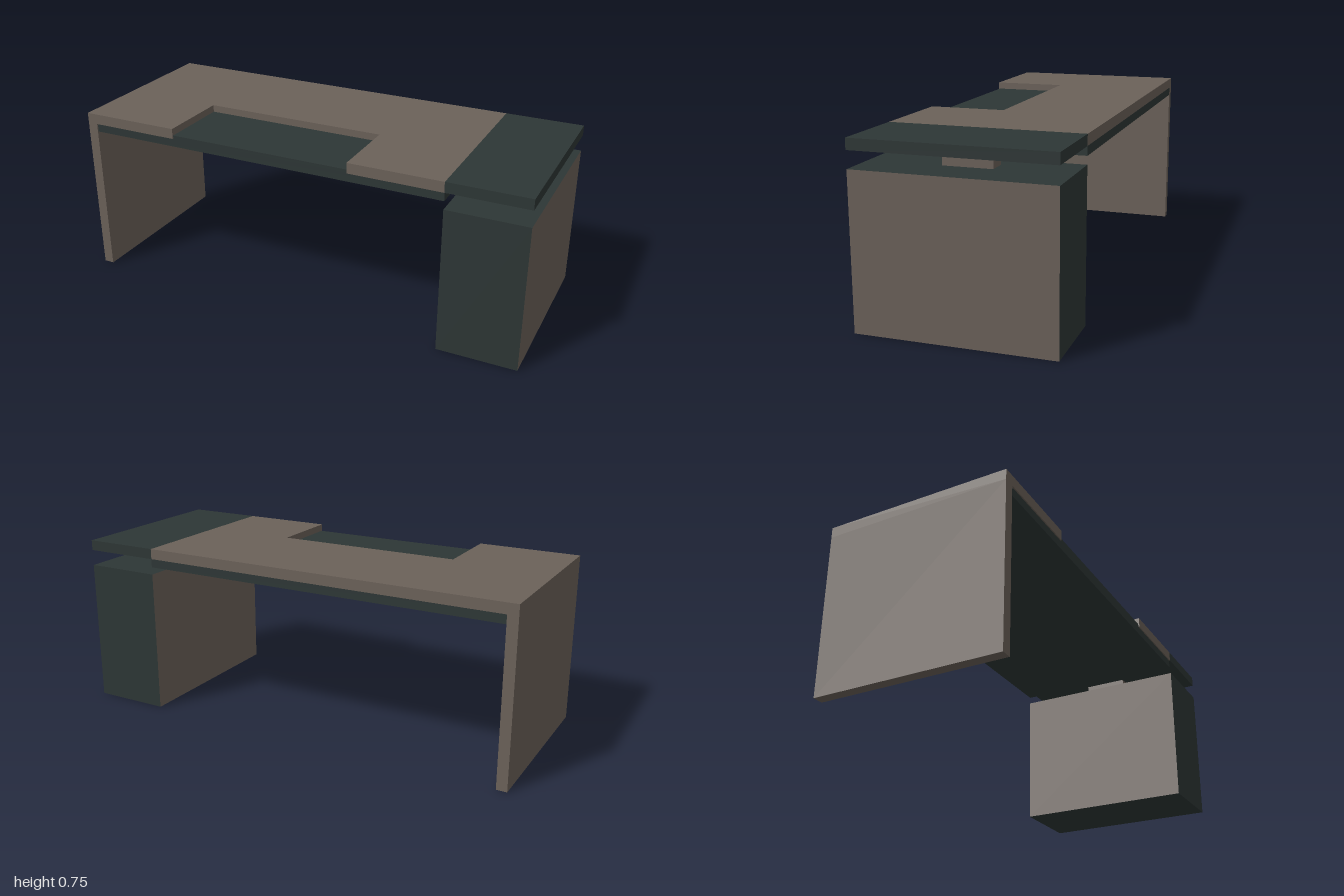
import * as THREE from 'three';

export function createModel() {
  const desk = new THREE.Group();
  desk.name = 'desk';

  const wood = new THREE.MeshStandardMaterial({ color: 0x6b6159 });
  wood.name = 'taupe wood';
  const dark = new THREE.MeshStandardMaterial({ color: 0x2d3635 });
  dark.name = 'dark slate';

  // Box given by its minimum and maximum corners
  function box(name, material, [x0, y0, z0], [x1, y1, z1]) {
    const geometry = new THREE.BoxGeometry(x1 - x0, y1 - y0, z1 - z0);
    geometry.translate((x0 + x1) / 2, (y0 + y1) / 2, (z0 + z1) / 2);
    const mesh = new THREE.Mesh(geometry, material);
    mesh.name = name;
    desk.add(mesh);
  }

  const depth = 0.4, top = 0.745, slabBottom = 0.7, apronBottom = 0.663;
  const split = 0.66, panelInner = -0.955;
  const notch = { left: -0.555, right: 0.257, back: 0.075 };

  // Worktop with a notch in its front edge, drawn in plan (shape y = -z)
  const plan = new THREE.Shape([
    [-1, -depth], [notch.left, -depth], [notch.left, -notch.back],
    [notch.right, -notch.back], [notch.right, -depth], [split, -depth],
    [split, depth], [-1, depth],
  ].map(([x, y]) => new THREE.Vector2(x, y)));
  const topGeometry = new THREE.ExtrudeGeometry(plan, { depth: top - slabBottom, bevelEnabled: false });
  topGeometry.rotateX(-Math.PI / 2).translate(0, slabBottom, 0);
  const worktop = new THREE.Mesh(topGeometry, wood);
  worktop.name = 'worktop';
  desk.add(worktop);

  // Side panel that continues the worktop to the floor
  box('sidePanel', wood, [-1, 0, -depth], [panelInner, slabBottom, depth]);

  // Dark under-slab and the raised inlay in the notch
  box('underSlab', dark, [panelInner, apronBottom, -depth], [split, slabBottom, 0.395]);
  box('notchInlay', dark, [notch.left, slabBottom, notch.back], [notch.right, 0.714, 0.395]);

  // Dark end of the worktop, carried by a short post on the cabinet
  box('endTop', dark, [split, slabBottom, -depth], [1, top, depth]);
  box('post', wood, [0.757, 0.63, -0.1], [0.836, slabBottom, 0.1]);

  // Cabinet: wooden sides (+x, -x), dark on the other faces
  box('cabinet', [wood, wood, dark, dark, dark, dark], [split, 0, -depth], [1, 0.63, depth]);

  return desk;
}
